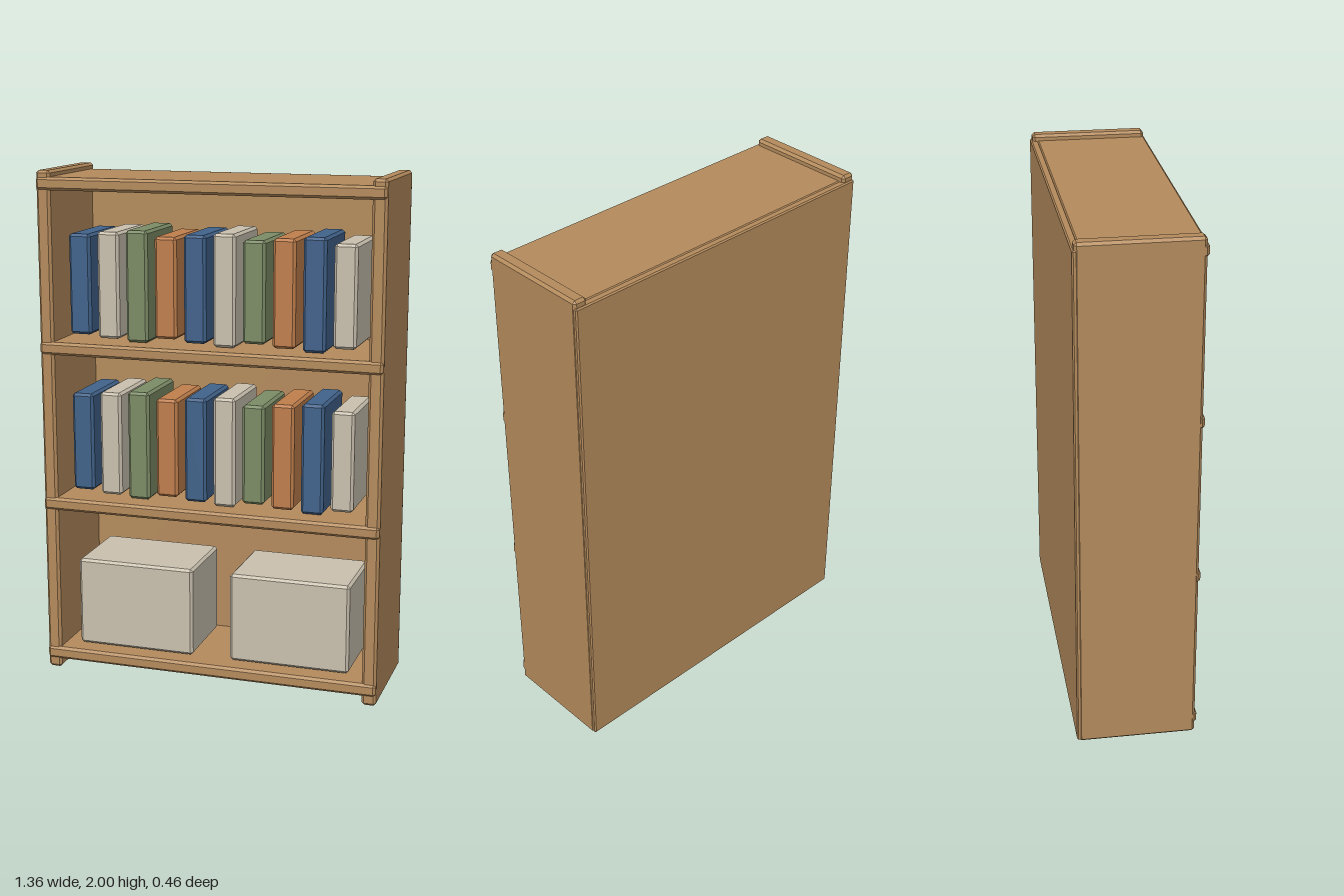
import * as THREE from 'three';
import { ConvexGeometry } from 'three/addons/geometries/ConvexGeometry.js';

function material(name, color) {
  const m = new THREE.MeshStandardMaterial({ color });
  m.name = name;
  return m;
}

// Box with flat chamfered edges, centred on its own origin
function chamferBox(w, h, d, c = 0.01) {
  const points = [];
  for (const sx of [-1, 1]) for (const sy of [-1, 1]) for (const sz of [-1, 1]) {
    const x = w / 2, y = h / 2, z = d / 2;
    points.push(
      new THREE.Vector3(sx * x, sy * (y - c), sz * (z - c)),
      new THREE.Vector3(sx * (x - c), sy * y, sz * (z - c)),
      new THREE.Vector3(sx * (x - c), sy * (y - c), sz * z)
    );
  }
  return new ConvexGeometry(points);
}

export function createModel() {
  const model = new THREE.Group();
  model.name = 'bookcase';

  const wood = material('wood', 0xb48b5c);
  const blue = material('blue', 0x41628a);
  const cream = material('cream', 0xc9c0ae);
  const green = material('green', 0x7c8c66);
  const orange = material('orange', 0xbf7e4c);

  function add(name, geometry, mat, x, y, z, parent = model) {
    const mesh = new THREE.Mesh(geometry, mat);
    mesh.name = name;
    mesh.position.set(x, y, z);
    parent.add(mesh);
    return mesh;
  }

  // Upright side panels
  const side = chamferBox(0.056, 2, 0.447);
  add('leftSide', side, wood, 0.65, 1, 0);
  add('rightSide', side, wood, -0.65, 1, 0);

  // Back panel
  add('backPanel', chamferBox(1.352, 1.968, 0.03, 0.005), wood, 0, 0.99, -0.215);

  // Shelves, with lips that stand just proud of the sides
  const shelf = chamferBox(1.354, 0.05, 0.44);
  [0.064, 0.692, 1.318, 1.951].forEach((y, i) => add(`shelf${i + 1}`, shelf, wood, 0, y, 0.011));

  // Two rows of books in three repeating heights
  const covers = [blue, cream, green, orange];
  const sizes = [0.39, 0.412, 0.43].map((h) => chamferBox(0.088, h, 0.3));
  [0.934, 1.561].forEach((y, row) => {
    const books = new THREE.Group();
    books.name = row ? 'upperBooks' : 'middleBooks';
    model.add(books);
    for (let i = 0; i < 10; i++) {
      add(`book${i + 1}`, sizes[i % 3], covers[i % 4], -0.537 + i * 0.1167, y, 0, books);
    }
  });

  // Storage boxes on the bottom shelf
  const box = chamferBox(0.48, 0.357, 0.33);
  add('leftStorageBox', box, cream, 0.317, 0.276, 0.008);
  add('rightStorageBox', box, cream, -0.317, 0.276, 0.008);

  return model;
}
